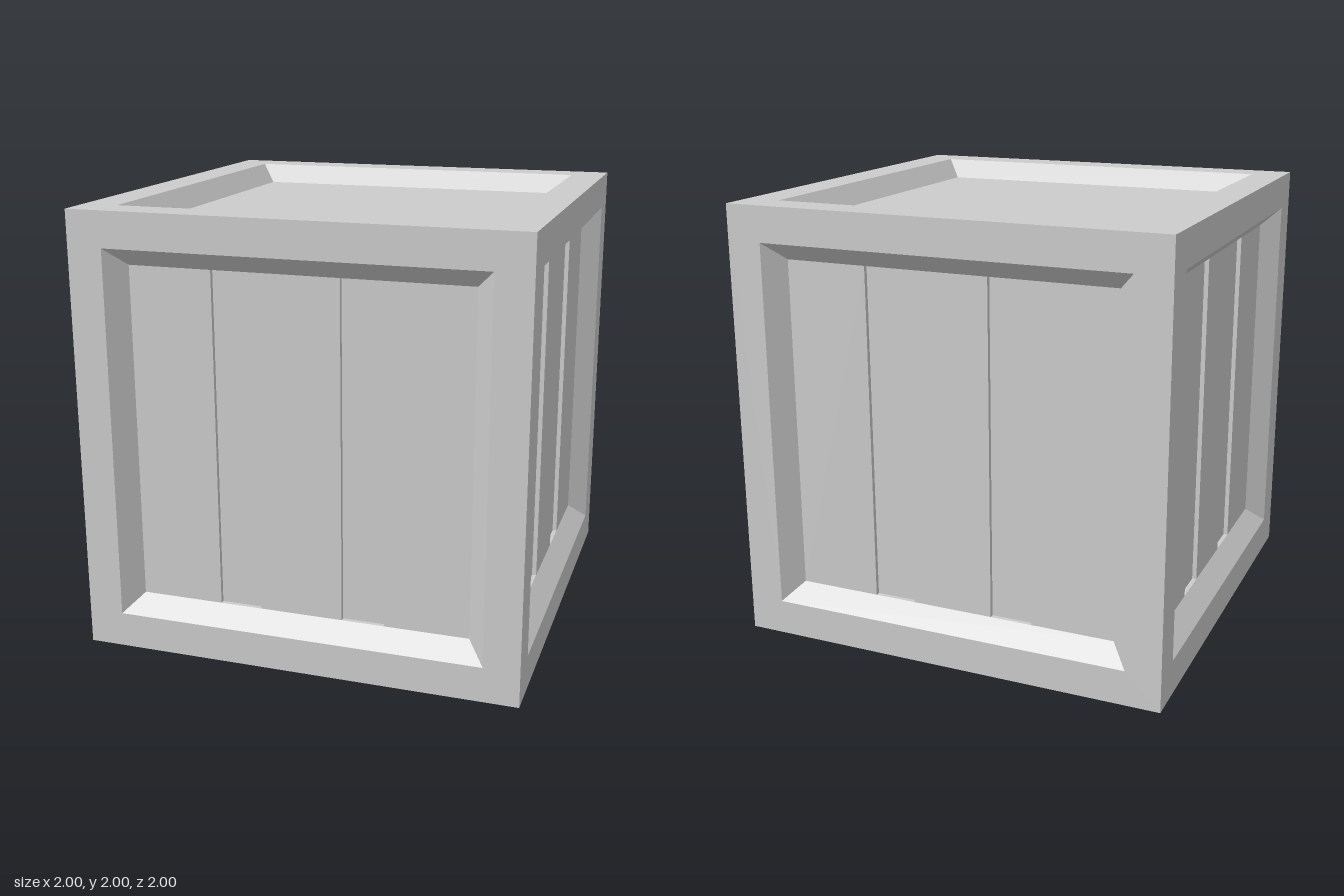
import * as THREE from 'three';

const material = new THREE.MeshStandardMaterial({ color: 0xcccccc, flatShading: true });
const PANEL_Z = 0.914; // recessed panel level
const GROOVE_Z = 0.894; // level of the sunken planks
const INNER = 0.76; // half width of the recessed panel

function addMesh(parent, geometry, name) {
  const mesh = new THREE.Mesh(geometry, material);
  mesh.name = name;
  parent.add(mesh);
  return mesh;
}

// Square rings joined in sequence; each ring is [half width, z]
function squareLoft(rings) {
  const corners = [[-1, -1], [1, -1], [1, 1], [-1, 1]];
  const positions = [];
  for (let r = 0; r < rings.length - 1; r++) {
    for (let k = 0; k < 4; k++) {
      const point = ([half, z], [x, y]) => [x * half, y * half, z];
      const next = corners[(k + 1) % 4];
      const a = point(rings[r], corners[k]);
      const b = point(rings[r], next);
      const c = point(rings[r + 1], next);
      const d = point(rings[r + 1], corners[k]);
      positions.push(...a, ...b, ...c, ...a, ...c, ...d);
    }
  }
  const geometry = new THREE.BufferGeometry();
  geometry.setAttribute('position', new THREE.Float32BufferAttribute(positions, 3));
  geometry.computeVertexNormals();
  return geometry;
}

// One face of the crate, built facing +z
function createFace(name, planked) {
  const face = new THREE.Group();
  face.name = name;

  // Flat border with a bevel sloping down to the panel
  const rings = [[1, 1], [0.84, 1], [INNER, PANEL_Z]];
  if (planked) rings.push([INNER, GROOVE_Z]);
  addMesh(face, squareLoft(rings), 'frame');

  // Backing panel
  const panel = addMesh(face, new THREE.PlaneGeometry(INNER * 2, INNER * 2), 'panel');
  panel.position.z = planked ? GROOVE_Z : PANEL_Z;

  // Three raised planks, leaving sunken strips between them
  if (planked) {
    for (const x of [-0.571, 0, 0.571]) {
      const thickness = PANEL_Z - GROOVE_Z;
      const plank = addMesh(face, new THREE.BoxGeometry(0.378, INNER * 2, thickness), 'plank');
      plank.position.set(x, 0, GROOVE_Z + thickness / 2);
    }
  }
  return face;
}

export function createModel() {
  const crate = new THREE.Group();
  crate.name = 'crate';

  // Four planked sides
  ['frontSide', 'leftSide', 'backSide', 'rightSide'].forEach((name, i) => {
    const side = createFace(name, true);
    side.rotation.y = (i * Math.PI) / 2;
    side.position.y = 1;
    crate.add(side);
  });

  // Plain lid and base
  for (const [name, sign] of [['lid', -1], ['base', 1]]) {
    const face = createFace(name, false);
    face.rotation.x = (sign * Math.PI) / 2;
    face.position.y = 1;
    crate.add(face);
  }
  return crate;
}
